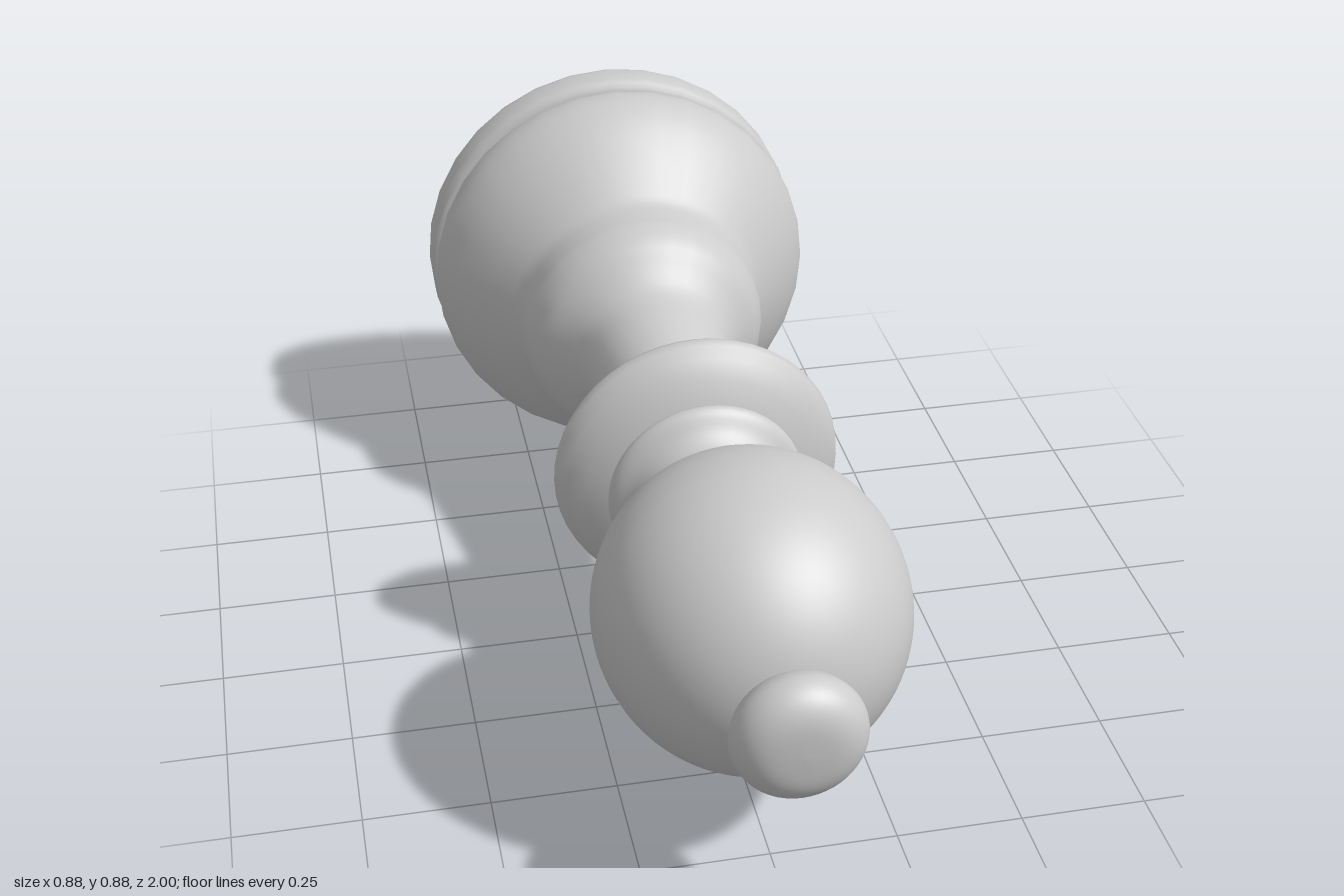
import * as THREE from 'three';
import { toCreasedNormals } from 'three/addons/utils/BufferGeometryUtils.js';

const AXIS_Y = 0.44; // height of the lying piece's long axis
const material = new THREE.MeshStandardMaterial({ color: 0xcccccc });

// Crease at a larger scale, so that close vertices stay distinct
function crease(geometry, angle) {
  geometry.scale(100, 100, 100);
  const creased = toCreasedNormals(geometry, angle);
  creased.scale(0.01, 0.01, 0.01);
  return creased;
}

// Turned part: profile of [radius, z], from the foot towards the tip
function turned(name, profile, sides, steps = 0) {
  let points = profile.map(([r, z]) => new THREE.Vector2(r, z));
  if (steps) points = new THREE.SplineCurve(points).getPoints(steps);
  points.forEach((p) => { p.x = Math.max(p.x, 0); });
  const geometry = new THREE.LatheGeometry(points, sides).rotateX(Math.PI / 2);
  const mesh = new THREE.Mesh(crease(geometry, 0.7), material);
  mesh.name = name;
  return mesh;
}

// Egg-shaped head, built from rings parallel to its slanted slot
function slottedHead() {
  const SEG = 96, SLOT_FRONT = 0.14, SLOT_BACK = 0.03, FLOOR = 0.455;
  const n = new THREE.Vector3(0, 0.315, 0.949).normalize(); // across the slot
  const d = new THREE.Vector3(0, -0.949, 0.315).normalize(); // out of the slot
  const rings = [];
  const addRing = (t, slot = false) => {
    const r = Math.sqrt(Math.max(0, 1 - t * t)), ring = [];
    for (let j = 0; j <= SEG; j++) {
      const phi = (j / SEG) * Math.PI * 2;
      let out = r * Math.cos(phi);
      if (slot) out = Math.min(out, FLOOR);
      const p = n.clone().multiplyScalar(t).addScaledVector(d, out);
      p.x = r * Math.sin(phi);
      ring.push(p.multiply(new THREE.Vector3(0.3, 0.3, 0.325)));
    }
    rings.push(ring);
  };
  const N = 24, a = Math.acos(SLOT_FRONT), b = Math.acos(SLOT_BACK);
  for (let i = 0; i <= N; i++) addRing(Math.cos((a * i) / N));
  addRing(SLOT_FRONT, true);
  addRing(SLOT_BACK, true);
  for (let i = 0; i <= N; i++) addRing(Math.cos(b + ((Math.PI - b) * i) / N));

  const positions = [];
  const tri = (p, q, r) => {
    const area = q.clone().sub(p).cross(r.clone().sub(p)).length();
    if (area > 1e-9) positions.push(...p, ...q, ...r);
  };
  for (let i = 0; i < rings.length - 1; i++) {
    const [up, low] = [rings[i], rings[i + 1]];
    for (let j = 0; j < SEG; j++) {
      tri(low[j], low[j + 1], up[j]);
      tri(low[j + 1], up[j + 1], up[j]);
    }
  }
  const geometry = new THREE.BufferGeometry();
  geometry.setAttribute('position', new THREE.Float32BufferAttribute(positions, 3));
  const mesh = new THREE.Mesh(crease(geometry, 0.6), material);
  mesh.name = 'slottedHead';
  mesh.position.z = 0.56;
  return mesh;
}

export function createModel() {
  const piece = new THREE.Group();
  piece.name = 'chessBishop';

  // Foot disc with rounded rims
  piece.add(turned('footDisc', [
    [0, -1], [0.415, -1], [0.426, -0.997], [0.434, -0.989], [0.438, -0.975],
    [0.438, -0.925], [0.434, -0.91], [0.426, -0.902], [0.41, -0.898], [0, -0.898],
  ], 32));

  // Flared base, running up into the slim stem
  piece.add(turned('baseAndStem', [
    [0.4, -0.9], [0.42, -0.886], [0.432, -0.86], [0.434, -0.82], [0.422, -0.78],
    [0.397, -0.735], [0.355, -0.68], [0.31, -0.63], [0.28, -0.592], [0.272, -0.55],
    [0.267, -0.51], [0.245, -0.46], [0.2, -0.415], [0.17, -0.37], [0.152, -0.29],
    [0.125, -0.15], [0.105, 0], [0.102, 0.03],
  ], 32, 72));

  // Wide collar with a flat underside
  piece.add(turned('collar', [
    [0, -0.006], [0.215, -0.006], [0.235, -0.003], [0.262, 0.012], [0.284, 0.034],
    [0.294, 0.055], [0.29, 0.072], [0.27, 0.092], [0.235, 0.115], [0.19, 0.133],
    [0.17, 0.14], [0, 0.14],
  ], 48));

  // Narrow ring and neck under the head
  piece.add(turned('neck', [
    [0.17, 0.132], [0.19, 0.14], [0.2, 0.155], [0.192, 0.172], [0.165, 0.193],
    [0.148, 0.215], [0.142, 0.235], [0.146, 0.262], [0.155, 0.285], [0.17, 0.31],
  ], 48, 40));

  piece.add(slottedHead());

  // Small knob on the tip
  piece.add(turned('knob', [
    [0.1, 0.85], [0.092, 0.868], [0.1, 0.88], [0.116, 0.9], [0.125, 0.93],
    [0.117, 0.96], [0.095, 0.983], [0.06, 0.996], [0, 1],
  ], 48, 40));

  piece.children.forEach((part) => { part.position.y = AXIS_Y; });
  return piece;
}
